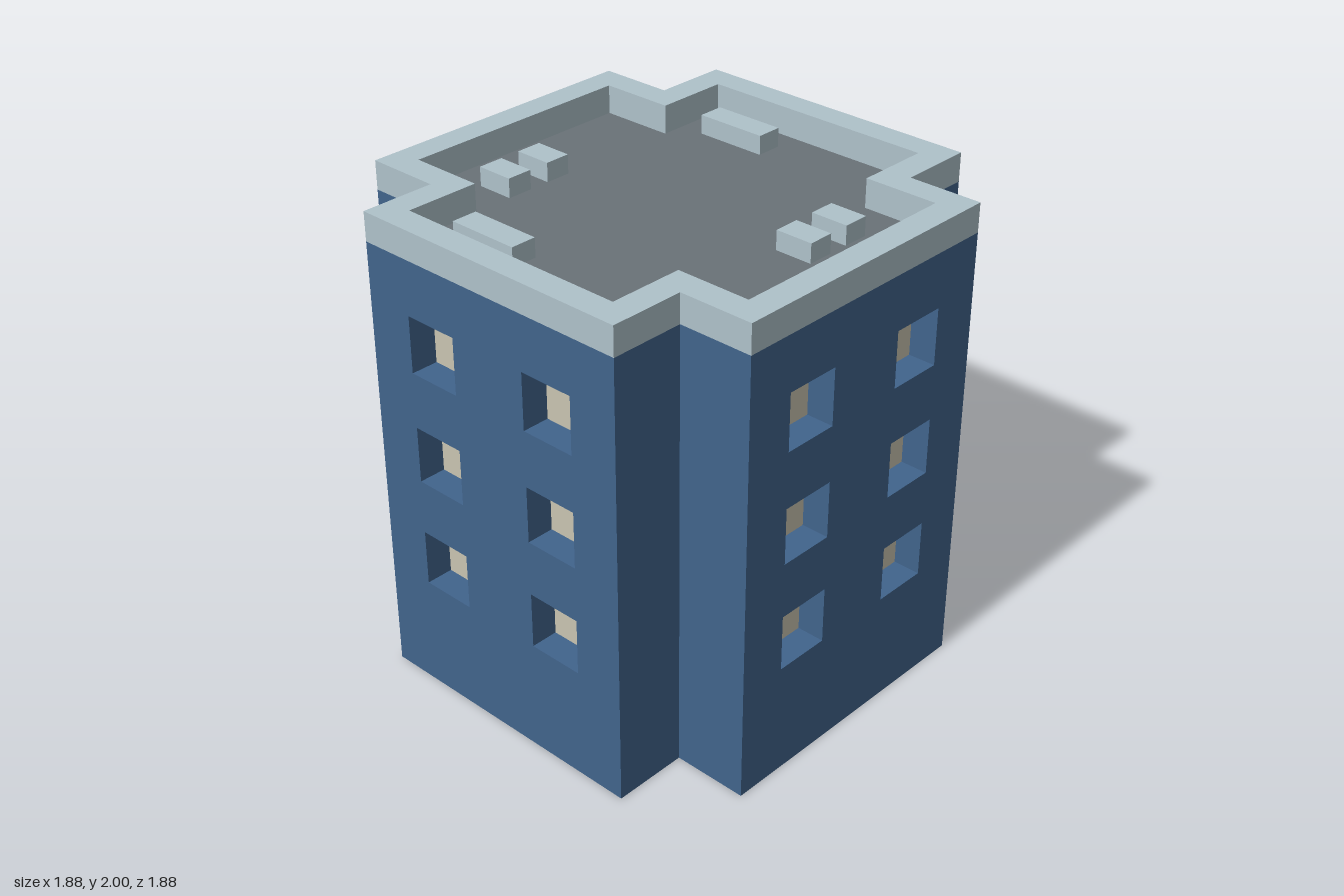
import * as THREE from 'three';

const OUT = 0.94, WING = 0.625;      // plan reach and half width of each wing
const WALL_TOP = 1.88, TOP = 2, RIM = 0.115;
const WIN = 0.237, DEPTH = 0.115;    // window size and recess depth

const material = (name, color, side = THREE.FrontSide) => {
  const m = new THREE.MeshStandardMaterial({ color, side });
  m.name = name;
  return m;
};

// Plus-shaped plan outline
function crossPoints(a, b) {
  return [[b, a], [b, b], [a, b], [a, -b], [b, -b], [b, -a],
    [-b, -a], [-b, -b], [-a, -b], [-a, b], [-b, b], [-b, a]]
    .map(([x, y]) => new THREE.Vector2(x, y)).reverse();
}

export function createModel() {
  const wallBlue = material('wall blue', 0x41648c, THREE.DoubleSide);
  const paneCream = material('pane cream', 0xc9c4b1, THREE.DoubleSide);
  const trimGrey = material('trim pale blue grey', 0xafc2ca);
  const roofGrey = material('roof grey', 0x6a7278, THREE.DoubleSide);

  const building = new THREE.Group();
  building.name = 'building';
  const add = (parent, name, geometry, mat, x = 0, y = 0, z = 0) => {
    const mesh = new THREE.Mesh(geometry, mat);
    mesh.name = name;
    mesh.position.set(x, y, z);
    parent.add(mesh);
    return mesh;
  };

  // Window centres on each facade
  const centres = [];
  for (const y of [0.593, 1.062, 1.533])
    for (const x of [-0.297, 0.294]) centres.push([x, y]);

  // Facade sheet with window openings
  const facade = new THREE.Shape([[-WING, 0], [WING, 0], [WING, WALL_TOP], [-WING, WALL_TOP]]
    .map(([x, y]) => new THREE.Vector2(x, y)));
  const h = WIN / 2;
  for (const [x, y] of centres) {
    facade.holes.push(new THREE.Path([[-h, -h], [-h, h], [h, h], [h, -h]]
      .map(([dx, dy]) => new THREE.Vector2(x + dx, y + dy))));
  }
  const facadeGeo = new THREE.ShapeGeometry(facade);
  const returnGeo = new THREE.PlaneGeometry(OUT - WING, WALL_TOP);
  const paneGeo = new THREE.PlaneGeometry(WIN, WIN);

  // Open square tube lining each window recess
  const r = WIN * Math.SQRT1_2;
  const revealGeo = new THREE.CylinderGeometry(r, r, DEPTH, 4, 1, true, Math.PI / 4)
    .rotateX(Math.PI / 2).toNonIndexed();
  revealGeo.computeVertexNormals();

  // Four identical wings around the centre
  ['front', 'left', 'back', 'right'].forEach((side, i) => {
    const wing = new THREE.Group();
    wing.name = side + 'Wing';
    wing.rotation.y = i * Math.PI / 2;
    building.add(wing);
    add(wing, 'facade', facadeGeo, wallBlue, 0, 0, OUT);
    for (const s of [-1, 1]) {
      add(wing, 'returnWall', returnGeo, wallBlue, s * WING, WALL_TOP / 2, (OUT + WING) / 2)
        .rotation.y = s * Math.PI / 2;
    }
    for (const [x, y] of centres) {
      add(wing, 'windowReveal', revealGeo, wallBlue, x, y, OUT - DEPTH / 2);
      add(wing, 'windowPane', paneGeo, paneCream, x, y, OUT - DEPTH);
    }
  });

  // Parapet ring
  const inner = crossPoints(OUT - RIM, WING - RIM);
  const ring = new THREE.Shape(crossPoints(OUT, WING));
  ring.holes.push(new THREE.Path(inner));
  const ringGeo = new THREE.ExtrudeGeometry(ring, { depth: TOP - WALL_TOP, bevelEnabled: false })
    .rotateX(-Math.PI / 2);
  add(building, 'parapet', ringGeo, trimGrey, 0, WALL_TOP, 0);

  // Flat roof deck
  const deckGeo = new THREE.ShapeGeometry(new THREE.Shape(inner)).rotateX(-Math.PI / 2);
  add(building, 'roofDeck', deckGeo, roofGrey, 0, WALL_TOP, 0);

  // Rooftop units: centre x, centre z, width, depth
  const unitHeight = 0.08;
  for (const [x, z, w, d] of [
    [-0.25, -0.665, 0.31, 0.11], [-0.24, 0.668, 0.31, 0.11],
    [0.578, -0.267, 0.16, 0.11], [0.578, -0.07, 0.16, 0.11],
    [-0.597, 0.083, 0.16, 0.11], [-0.597, 0.281, 0.16, 0.11],
  ]) {
    add(building, 'roofUnit', new THREE.BoxGeometry(w, unitHeight, d), trimGrey,
      x, WALL_TOP + unitHeight / 2, z);
  }
  return building;
}
